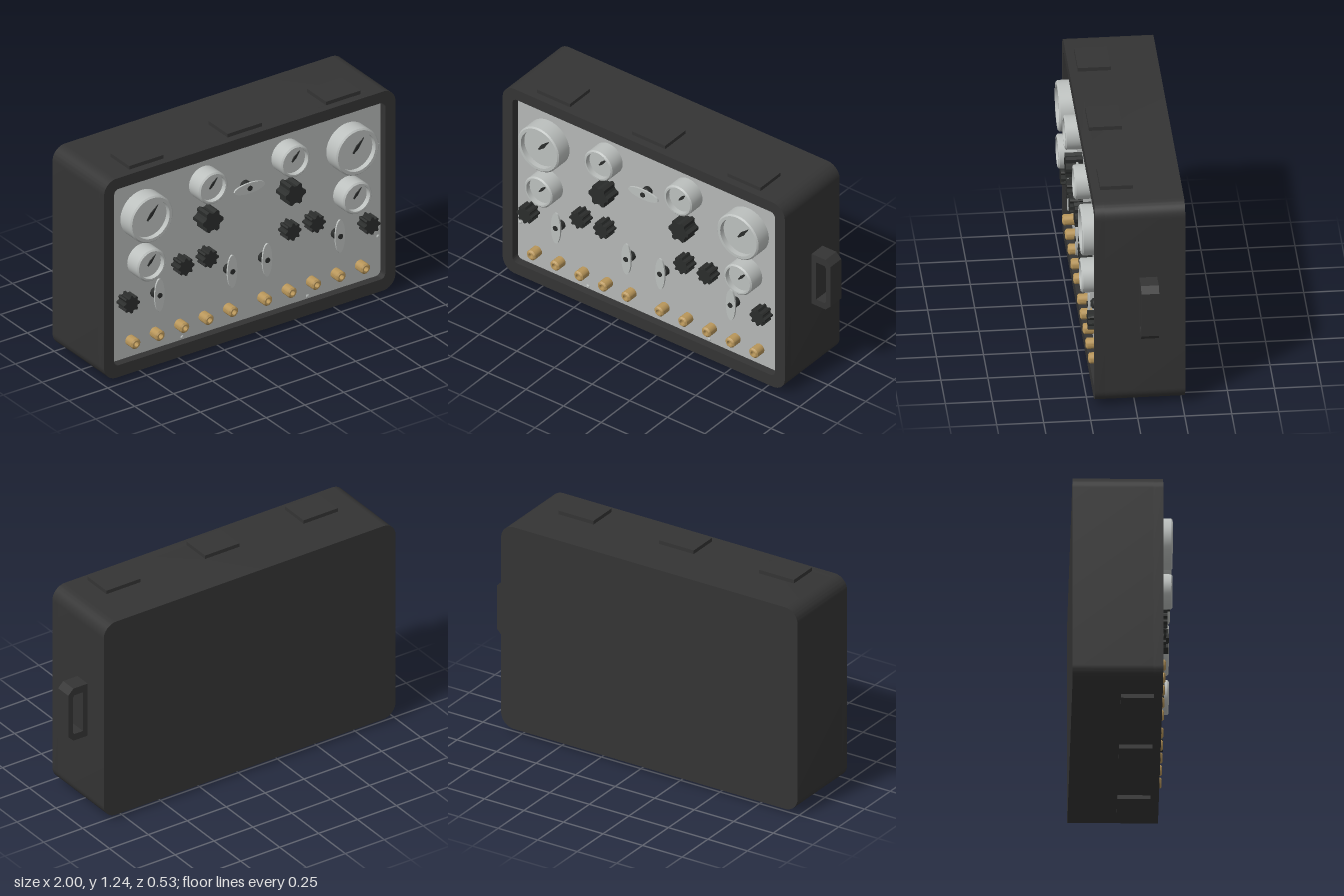
import * as THREE from 'three';
import { toCreasedNormals } from 'three/addons/utils/BufferGeometryUtils.js';

const material = (name, color) => {
  const m = new THREE.MeshStandardMaterial({ color });
  m.name = name;
  return m;
};

// Rounded rectangle outline from its edges
function roundedRect(x0, y0, x1, y1, r, Type = THREE.Shape) {
  const s = new Type();
  s.absarc(x1 - r, y0 + r, r, -Math.PI / 2, 0);
  s.absarc(x1 - r, y1 - r, r, 0, Math.PI / 2);
  s.absarc(x0 + r, y1 - r, r, Math.PI / 2, Math.PI);
  s.absarc(x0 + r, y0 + r, r, Math.PI, Math.PI * 1.5);
  s.closePath();
  return s;
}

// Extrude a shape between two z values, with crisp edges
function slab(shape, z0, z1, curveSegments = 8) {
  const g = new THREE.ExtrudeGeometry(shape, { depth: z1 - z0, bevelEnabled: false, curveSegments });
  g.translate(0, 0, z0);
  return toCreasedNormals(g, 0.5);
}

// Turned part whose axis points to the front
function turned(points, segments) {
  const g = new THREE.LatheGeometry(points.map(p => new THREE.Vector2(...p)), segments);
  g.rotateX(Math.PI / 2);
  return toCreasedNormals(g, 0.5);
}

// Fluted grip outline
function star(points, outer, inner) {
  const s = [];
  for (let i = 0; i < points; i++) {
    const a = (i / points) * Math.PI * 2, step = (Math.PI * 2) / points;
    for (const [f, r] of [[-0.13, outer], [0.13, outer], [0.36, inner], [0.64, inner]]) {
      s.push(new THREE.Vector2(Math.cos(a + f * step) * r, Math.sin(a + f * step) * r));
    }
  }
  return new THREE.Shape(s);
}

export function createModel() {
  const caseMat = material('case charcoal', 0x343434);
  const knobMat = material('knob black', 0x2b2d2c);
  const panelMat = material('panel grey', 0xb4b7b6);
  const metalMat = material('gauge grey', 0xbcc0be);
  const brassMat = material('brass', 0xb8965a);

  const model = new THREE.Group();
  const add = (name, geometry, mat, x = 0, y = 0, z = 0, parent = model) => {
    const m = new THREE.Mesh(geometry, mat);
    m.name = name;
    m.position.set(x, y, z);
    parent.add(m);
    return m;
  };
  const PANEL = 0.17;

  // Case: solid body and raised front rim
  add('caseBody', slab(roundedRect(-1, 0.022, 0.875, 1.218, 0.08), -0.265, 0.163), caseMat);
  const rim = roundedRect(-1, 0.022, 0.875, 1.218, 0.08);
  rim.holes.push(roundedRect(-0.935, 0.093, 0.81, 1.153, 0.03, THREE.Path));
  add('caseRim', slab(rim, 0.163, 0.215), caseMat);
  add('controlPanel', slab(roundedRect(-0.934, 0.094, 0.809, 1.152, 0.03), 0.162, PANEL), panelMat);

  // Latch pads on top and bottom
  const pad = new THREE.BoxGeometry(0.22, 0.022, 0.176);
  for (const x of [-0.697, -0.064, 0.57]) {
    add('topPad', pad, caseMat, x, 1.228, 0.082);
    add('bottomPad', pad, caseMat, x, 0.011, 0.082);
  }

  // Carrying handle with chamfered outer corners
  const handle = new THREE.Shape([
    [0.87, 0.464], [0.967, 0.464], [1, 0.497], [1, 0.753], [0.967, 0.786], [0.87, 0.786],
  ].map(p => new THREE.Vector2(...p)));
  handle.holes.push(new THREE.Path([
    [0.905, 0.503], [0.905, 0.743], [0.96, 0.743], [0.97, 0.73], [0.97, 0.516], [0.96, 0.503],
  ].map(p => new THREE.Vector2(...p))));
  add('handle', slab(handle, -0.115, -0.02), caseMat);

  // Gauges: rimmed cup, recessed dial and needle
  const needle = new THREE.Shape([
    [-0.02, -0.004], [0.02, -0.011], [0.085, 0], [0.02, 0.011], [-0.02, 0.004],
  ].map(p => new THREE.Vector2(...p)));
  function gauge(x, y, r) {
    const g = new THREE.Group();
    g.name = 'gauge';
    g.position.set(x, y, PANEL);
    model.add(g);
    const inner = r * 0.82, h = 0.098;
    add('gaugeHousing', turned([
      [r, 0], [r, h - 0.008], [r - 0.008, h], [inner, h], [inner, h - 0.03], [0, h - 0.03],
    ], 40), metalMat, 0, 0, 0, g);
    const n = add('gaugeNeedle', slab(needle, 0, 0.006), knobMat, 0, 0, h - 0.03, g);
    n.rotation.z = Math.PI / 4 + 0.05;
    n.scale.set(r > 0.1 ? 1 : 0.72, r > 0.1 ? 1 : 0.75, 1);
  }
  for (const side of [-1, 1]) {
    const outer = -0.0645 + side * 0.6625, innerX = -0.0645 + side * 0.265;
    gauge(outer, 0.935, 0.137);
    gauge(outer, 0.658, 0.093);
    gauge(innerX, 1.0, 0.093);
  }

  // Fluted knobs
  const bigKnob = slab(star(6, 0.066, 0.05), 0, 0.092);
  const smallKnob = slab(star(8, 0.052, 0.039), 0, 0.07);
  for (const x of [-0.33, 0.202]) add('largeKnob', bigKnob, knobMat, x, 0.8, PANEL);
  for (const [x, y] of [
    [-0.487, 0.565], [-0.33, 0.565], [0.202, 0.565], [0.358, 0.565], [-0.838, 0.447], [0.71, 0.447],
  ]) add('smallKnob', smallKnob, knobMat, x, y, PANEL);

  // Valves: dark stem, oval lever and hub
  const oval = new THREE.Shape();
  oval.absellipse(0, 0, 0.031, 0.098, 0, Math.PI * 2);
  const lever = slab(oval, 0.04, 0.05, 14);
  const stem = turned([[0.028, 0], [0.028, 0.025], [0.015, 0.034], [0.015, 0.055], [0, 0.055]], 16);
  for (const [x, y, turn] of [
    [-0.645, 0.435, 0], [-0.177, 0.435, 0], [0.048, 0.435, 0], [0.517, 0.435, 0],
    [-0.065, 0.902, Math.PI / 2],
  ]) {
    add('valveLever', lever, metalMat, x, y, PANEL).rotation.z = turn;
    add('valveStem', stem, knobMat, x, y, PANEL);
  }

  // Row of hollow brass ports
  const port = turned([
    [0.03, 0], [0.03, 0.054], [0.022, 0.062], [0.014, 0.062], [0.014, 0.03], [0, 0.03],
  ], 20);
  for (const x of [-0.803, -0.646, -0.488, -0.331, -0.174, 0.046, 0.203, 0.36, 0.518, 0.675]) {
    add('brassPort', port, brassMat, x, 0.194, PANEL);
  }

  // Panel screws around the border
  const screw = turned([[0.01, 0], [0.01, 0.003], [0.006, 0.006], [0, 0.006]], 12);
  for (const [x, y] of [
    [-0.467, 1.138], [0.34, 1.138], [-0.467, 0.109], [0.34, 0.109],
    [-0.919, 0.88], [-0.919, 0.33], [0.794, 0.88], [0.794, 0.33],
  ]) add('panelScrew', screw, metalMat, x, y, PANEL);

  return model;
}
